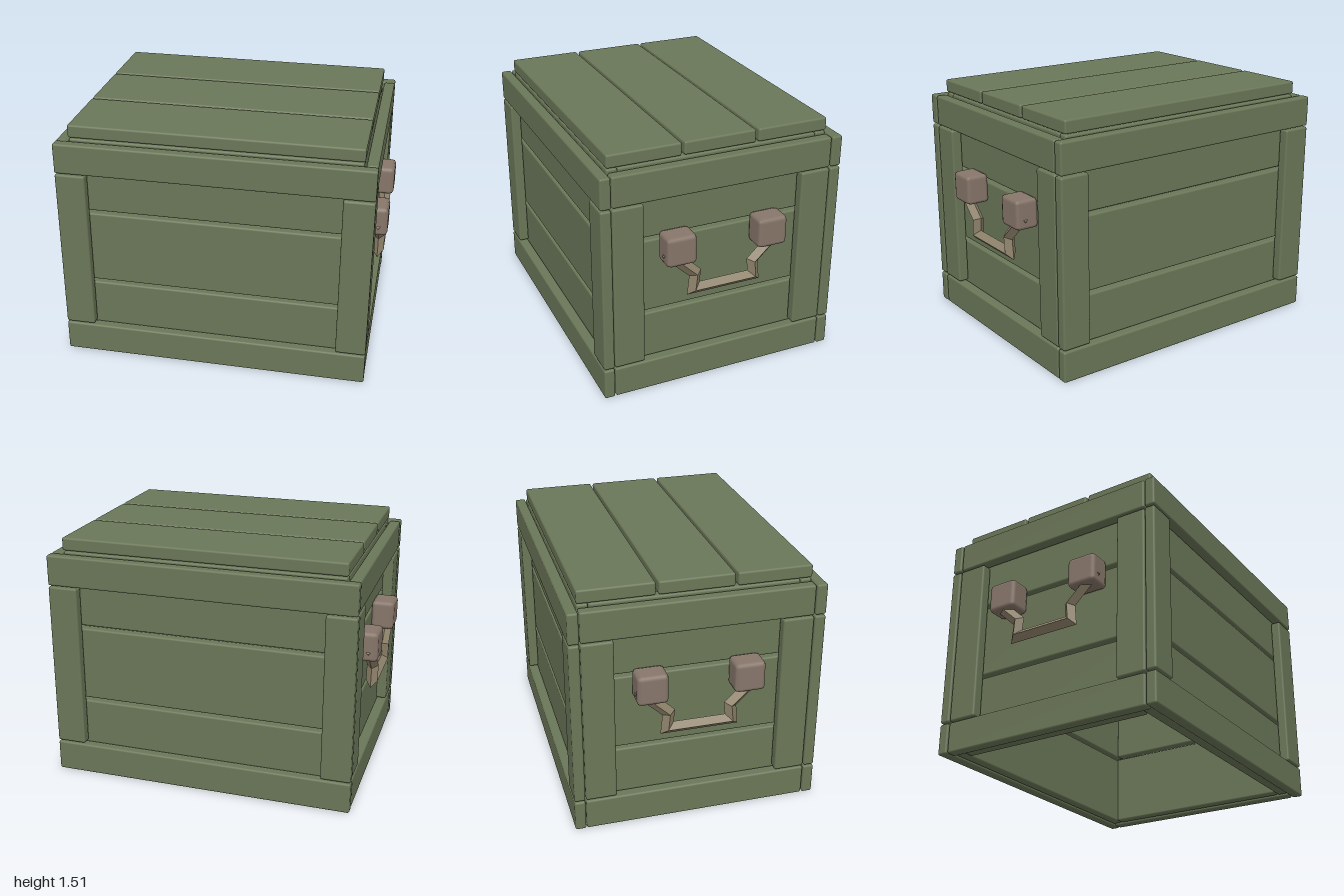
import * as THREE from 'three';
import { RoundedBoxGeometry } from 'three/addons/geometries/RoundedBoxGeometry.js';

const green = new THREE.MeshStandardMaterial({ color: 0x6b7758 });
const brown = new THREE.MeshStandardMaterial({ color: 0x87766a });
const tan = new THREE.MeshStandardMaterial({ color: 0x8f836b, flatShading: true });

// Bevelled block given by its min and max on each axis
function block(name, [x0, x1], [y0, y1], [z0, z1], material = green, bevel = 0.012, segments = 2) {
  const geometry = new RoundedBoxGeometry(x1 - x0, y1 - y0, z1 - z0, segments, bevel);
  const mesh = new THREE.Mesh(geometry, material);
  mesh.name = name;
  mesh.position.set((x0 + x1) / 2, (y0 + y1) / 2, (z0 + z1) / 2);
  return mesh;
}

// Range on the positive or negative side of an axis
const side = (s, a, b) => (s > 0 ? [a, b] : [-b, -a]);

// Square bar on its edge, swept along a path of [z, y] points with mitred corners
function barGeometry(path, x, r) {
  const pts = path.map(([z, y]) => new THREE.Vector2(z, y));
  const rings = pts.map((p, i) => {
    const a = pts[Math.max(i - 1, 0)], b = pts[Math.min(i + 1, pts.length - 1)];
    const d1 = (i ? p.clone().sub(a) : b.clone().sub(p)).normalize();
    const d2 = (i < pts.length - 1 ? b.clone().sub(p) : d1.clone()).normalize();
    const n = new THREE.Vector2(-d1.y - d2.y, d1.x + d2.x).normalize();
    n.multiplyScalar(r / (n.x * -d1.y + n.y * d1.x));
    return [[x + r, p.y, p.x], [x, p.y + n.y, p.x + n.x], [x - r, p.y, p.x], [x, p.y - n.y, p.x - n.x]];
  });
  const index = [];
  for (let i = 0; i < rings.length - 1; i++) {
    for (let k = 0; k < 4; k++) {
      const a = i * 4 + k, b = i * 4 + (k + 1) % 4;
      index.push(a, a + 4, b, b, a + 4, b + 4);
    }
  }
  const e = (rings.length - 1) * 4;
  index.push(0, 1, 2, 0, 2, 3, e, e + 2, e + 1, e, e + 3, e + 2);
  const geometry = new THREE.BufferGeometry();
  geometry.setAttribute('position', new THREE.Float32BufferAttribute(rings.flat(2), 3));
  geometry.setIndex(index);
  geometry.computeVertexNormals();
  return geometry;
}

export function createModel() {
  const crate = new THREE.Group();
  crate.name = 'crate';

  // Three lid planks
  for (const z of [-0.46, 0, 0.46]) {
    crate.add(block('lidPlank', [-0.865, 0.865], [1.435, 1.515], [z - 0.222, z + 0.222]));
  }

  const plankRows = [[0.01, 0.47], [0.49, 0.95], [0.97, 1.43]];
  const railRows = [[0, 0.192], [1.23, 1.418]];
  const postRow = [0.2, 1.222];

  for (const s of [-1, 1]) {
    // Wall planks, set back inside the frame
    for (const y of plankRows) {
      crate.add(block('endlongPlank', [-0.86, 0.86], y, side(s, 0.615, 0.68)));
      crate.add(block('sidePlank', side(s, 0.795, 0.86), y, [-0.613, 0.613]));
    }
    // Top and bottom rails
    for (const y of railRows) {
      crate.add(block('longRail', [-0.94, 0.94], y, side(s, 0.685, 0.75)));
      crate.add(block('sideRail', side(s, 0.87, 0.938), y, [-0.68, 0.68]));
    }
    // Corner posts
    for (const t of [-1, 1]) {
      crate.add(block('longPost', side(t, 0.758, 0.94), postRow, side(s, 0.685, 0.75)));
      crate.add(block('sidePost', side(s, 0.87, 0.938), postRow, side(t, 0.495, 0.68)));
    }

    // Carrying handle: two brackets and a bent bar
    const handle = new THREE.Group();
    handle.name = s > 0 ? 'leftHandle' : 'rightHandle';
    for (const t of [-1, 1]) {
      handle.add(block('handleBracket', side(s, 0.855, 1), [0.82, 1.003], side(t, 0.195, 0.38), brown, 0.025, 1));
    }
    const path = [[-0.365, 0.9], [-0.185, 0.73], [-0.195, 0.628], [0.195, 0.628], [0.185, 0.73], [0.365, 0.9]];
    const bar = new THREE.Mesh(barGeometry(path, s * 0.945, 0.036), tan.clone());
    bar.material.side = THREE.DoubleSide;
    bar.name = 'handleBar';
    handle.add(bar);
    crate.add(handle);
  }
  return crate;
}
